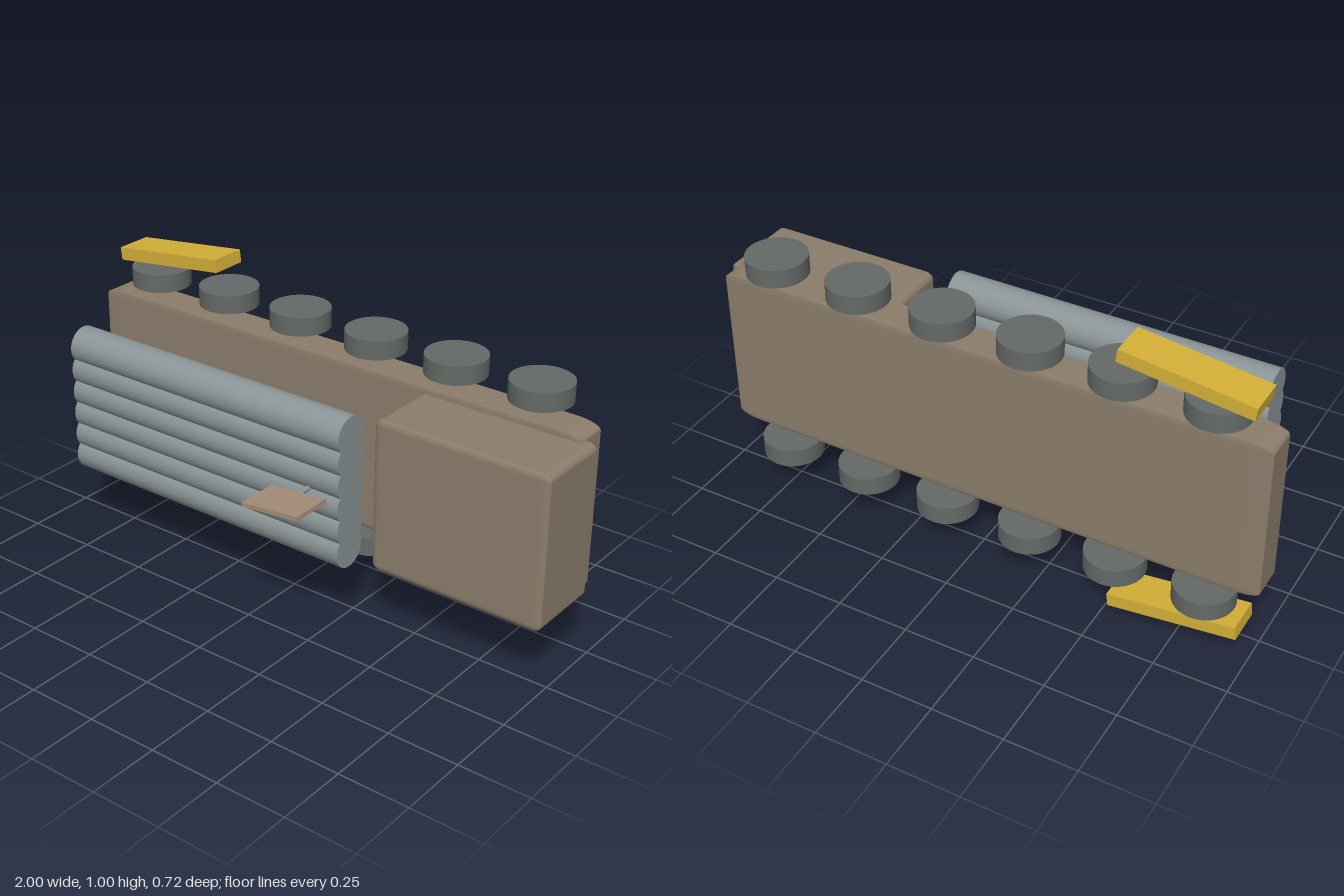
import * as THREE from 'three';
import { RoundedBoxGeometry } from 'three/addons/geometries/RoundedBoxGeometry.js';

const MID_Y = 0.505; // the vehicle lies on its side, symmetric about this height
const mat = (color) => new THREE.MeshStandardMaterial({ color });
const brown = mat(0x8b7d6b);
const tan = mat(0xa38d78);
const steel = mat(0x8a9496);
const rubber = mat(0x646a67);
const gold = mat(0xd4af37);

export function createModel() {
  const model = new THREE.Group();
  model.name = 'truck';

  const add = (name, geometry, material, x, y, z) => {
    const mesh = new THREE.Mesh(geometry, material);
    mesh.name = name;
    mesh.position.set(x, y, z);
    model.add(mesh);
    return mesh;
  };

  // Chassis and cab: one softened unit cube stretched to each size
  const softCube = new RoundedBoxGeometry(1, 1, 1, 4, 0.045);
  add('chassis', softCube, brown, -0.02, MID_Y, -0.233).scale.set(1.96, 0.59, 0.125);
  add('cab', softCube, brown, 0.685, MID_Y, -0.068).scale.set(0.63, 0.54, 0.283);

  // Row of pipes along the bed
  const pipe = new THREE.CylinderGeometry(0.066, 0.066, 1.155, 32).rotateZ(Math.PI / 2);
  for (let i = 0; i < 6; i++) {
    add(`pipe${i + 1}`, pipe, steel, -0.2725, MID_Y + (i - 2.5) * 0.0817, 0.105);
  }

  // Wheels and slanted guards, mirrored to both sides
  const wheel = new THREE.CylinderGeometry(0.105, 0.105, 0.066, 32);
  const guard = new THREE.BoxGeometry(0.447, 0.046, 0.134);
  for (const side of [1, -1]) {
    const label = side > 0 ? 'upper' : 'lower';
    for (let i = 0; i < 6; i++) {
      add(`${label}Wheel${i + 1}`, wheel, rubber, -0.805 + i * 0.314, MID_Y + side * 0.366, -0.256);
    }
    add(`${label}Guard`, guard, gold, -0.727, MID_Y + side * 0.452, -0.269).rotation.z = side * 0.123;
  }

  // Small tilted panel on a thin post
  const post = new THREE.CylinderGeometry(0.009, 0.009, 0.12, 16).rotateX(Math.PI / 2);
  add('post', post, steel, 0.18, MID_Y, 0.16);
  add('panel', new THREE.BoxGeometry(0.221, 0.015, 0.15), tan, 0.18, MID_Y, 0.285).rotation.z = 0.1;

  return model;
}
